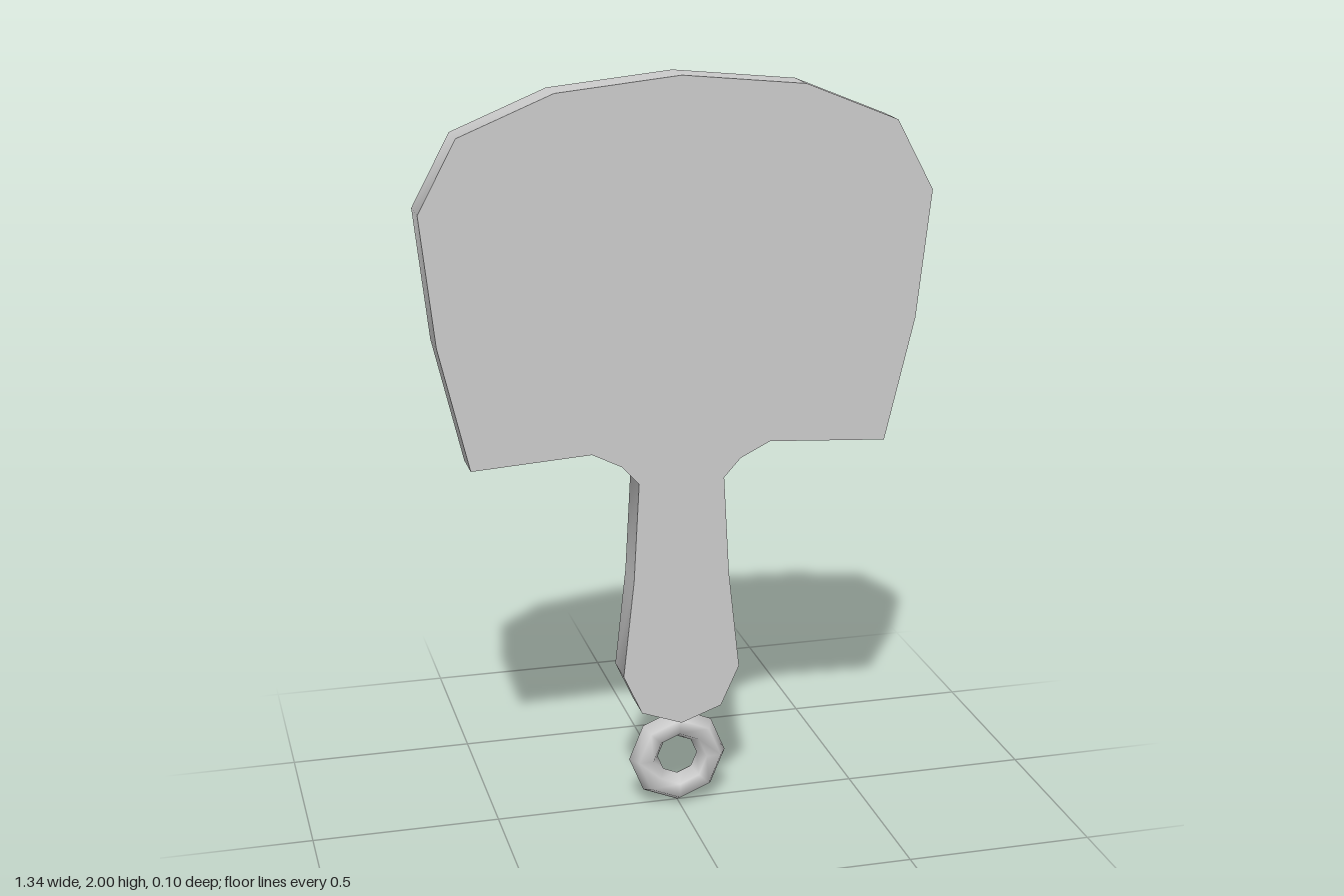
import * as THREE from 'three';
import { toCreasedNormals } from 'three/addons/utils/BufferGeometryUtils.js';

export function createModel() {
  const group = new THREE.Group();
  const material = new THREE.MeshStandardMaterial({ color: 0xcccccc });
  const add = (name, geometry) => {
    const mesh = new THREE.Mesh(geometry, material);
    mesh.name = name;
    group.add(mesh);
    return mesh;
  };

  // Blade and handle: one flat slab, outline mirrored left to right
  const depth = 0.1;
  const half = [
    [0, 0.25], [0.11, 0.29], [0.16, 0.4], [0.13, 0.67], [0.115, 0.94],
    [0.16, 0.99], [0.24, 1.03], [0.557, 1.01], [0.635, 1.34],
    [0.672, 1.68], [0.572, 1.866], [0.325, 1.967], [0, 2],
  ];
  const mirrored = half.slice(1, -1).reverse().map(([x, y]) => [-x, y]);
  const outline = new THREE.Shape(
    [...half, ...mirrored].map(([x, y]) => new THREE.Vector2(x, y))
  );
  const slab = new THREE.ExtrudeGeometry(outline, { depth, bevelEnabled: false });
  slab.translate(0, 0, -depth / 2);
  add('bladeAndHandle', toCreasedNormals(slab, 0.9));

  // Hanging ring under the handle
  const ring = add('hangingRing', new THREE.TorusGeometry(0.095, 0.04, 6, 8));
  ring.position.y = 0.14;

  // Rest the ring exactly on the ground
  ring.position.y = 0.135;
  return group;
}
